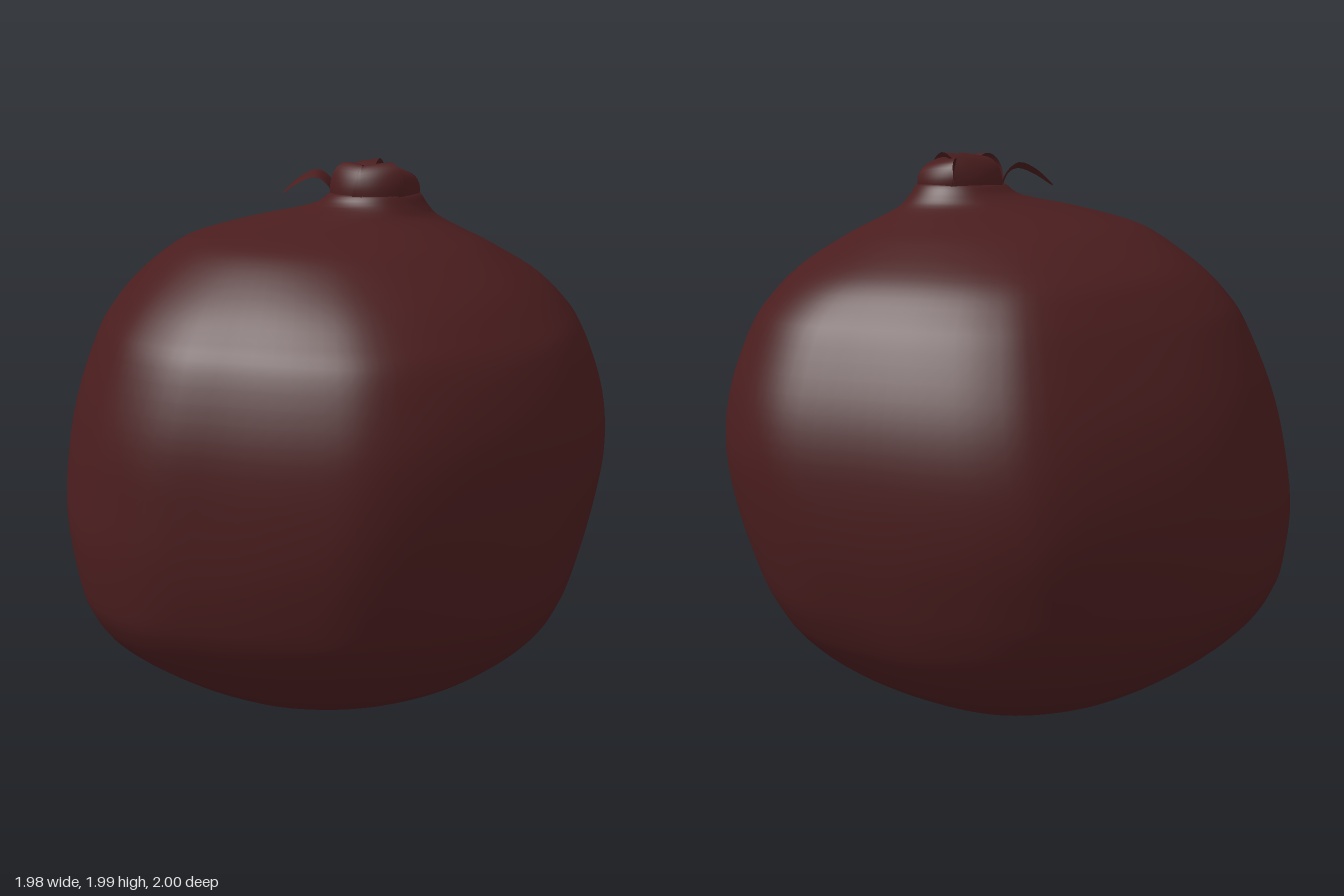
import * as THREE from 'three';

const skin = new THREE.MeshStandardMaterial({ color: 0x4a1d1e, side: THREE.DoubleSide });
skin.name = 'dark red skin';

// Plan outline at the widest part: x, z
const OUTLINE = [
  [0.05, -1], [0.25, -0.96], [0.45, -0.85], [0.65, -0.71], [0.85, -0.57], [0.96, -0.4], [1, -0.2],
  [0.98, 0], [0.945, 0.2], [0.885, 0.39], [0.775, 0.59], [0.61, 0.75], [0.41, 0.88], [0.2, 0.97], [0, 1],
  [-0.2, 0.95], [-0.45, 0.85], [-0.68, 0.75], [-0.86, 0.57], [-0.95, 0.35], [-0.99, 0.1], [-1, -0.15],
  [-0.96, -0.42], [-0.84, -0.63], [-0.61, -0.81], [-0.3, -0.93],
];

// Cross-section extents: y, xMin, xMax, zMin, zMax
const LEVELS = [
  [0.0, -0.02, 0.02, -0.2, -0.16], [0.02, -0.27, 0.15, -0.31, 0.1], [0.1, -0.43, 0.33, -0.53, 0.4],
  [0.2, -0.6, 0.53, -0.7, 0.6], [0.3, -0.75, 0.68, -0.81, 0.73], [0.4, -0.86, 0.78, -0.88, 0.83],
  [0.5, -0.92, 0.84, -0.925, 0.9], [0.6, -0.955, 0.885, -0.955, 0.94], [0.8, -0.99, 0.95, -0.995, 0.985],
  [1.0, -0.975, 0.985, -0.985, 1.0], [1.2, -0.93, 0.965, -0.93, 0.98], [1.4, -0.855, 0.89, -0.83, 0.91],
  [1.5, -0.795, 0.82, -0.76, 0.83], [1.6, -0.71, 0.71, -0.66, 0.72], [1.7, -0.59, 0.54, -0.48, 0.57],
  [1.75, -0.49, 0.44, -0.35, 0.45], [1.8, -0.3, 0.345, -0.2, 0.3], [1.84, -0.1, 0.305, -0.13, 0.235],
  [1.88, -0.035, 0.275, -0.095, 0.205], [1.875, 0.0, 0.24, -0.06, 0.17], [1.85, 0.1, 0.14, 0.03, 0.07],
];

// Indexed grid of rows, optionally closed around each row
function gridGeometry(rows, closed) {
  const n = rows[0].length, index = [];
  for (let j = 0; j < rows.length - 1; j++) {
    for (let i = 0; i < (closed ? n : n - 1); i++) {
      const a = j * n + i, b = j * n + (i + 1) % n;
      index.push(a, a + n, b, b, a + n, b + n);
    }
  }
  const g = new THREE.BufferGeometry();
  g.setAttribute('position', new THREE.Float32BufferAttribute(rows.flat(2), 3));
  g.setIndex(index);
  g.computeVertexNormals();
  return g;
}

function add(parent, name, geometry) {
  const mesh = new THREE.Mesh(geometry, skin);
  mesh.name = name;
  parent.add(mesh);
  return mesh;
}

function bodyGeometry() {
  const { lerp, smoothstep } = THREE.MathUtils;
  const curve = (pts, closed) => new THREE.CatmullRomCurve3(pts, closed, 'catmullrom', 0.5);
  const plan = curve(OUTLINE.map(([x, z]) => new THREE.Vector3(x, 0, z)), true).getPoints(104).slice(0, -1);
  const xs = curve(LEVELS.map((l) => new THREE.Vector3(l[1], l[0], l[2])), false);
  const zs = curve(LEVELS.map((l) => new THREE.Vector3(l[3], l[0], l[4])), false);
  const steps = (LEVELS.length - 1) * 4, rows = [];
  for (let j = 0; j <= steps; j++) {
    const a = xs.getPoint(j / steps), b = zs.getPoint(j / steps), y = a.y;
    // lobed at the middle, round towards the poles, squarer in the lower half
    const lobed = smoothstep(y, 0, 0.6) * (1 - smoothstep(y, 1.45, 1.85));
    const square = 0.06 * smoothstep(y, 0, 0.1) * (1 - smoothstep(y, 0.4, 1.0));
    rows.push(plan.map((p) => {
      const t = Math.atan2(p.z, p.x);
      const bulge = 1 + square * Math.sin(2 * t) ** 2;
      const u = lerp(Math.cos(t), p.x, lobed) * bulge;
      const v = lerp(Math.sin(t), p.z, lobed) * bulge;
      return [(a.x + a.z) / 2 + u * (a.z - a.x) / 2, Math.max(0, y), (b.x + b.z) / 2 + v * (b.z - b.x) / 2];
    }));
  }
  return gridGeometry(rows, true);
}

// Curled sepal pointing along +x; profile holds radius and height pairs, twist rolls the tip
function sepalGeometry(profile, width, twist) {
  const path = new THREE.CatmullRomCurve3(profile.map(([r, y]) => new THREE.Vector3(r, y, 0)));
  const rows = [];
  for (let j = 0; j <= 14; j++) {
    const t = j / 14, p = path.getPoint(t), row = [];
    const half = width * (1 - 0.9 * t ** 2.2);
    for (let i = -4; i <= 4; i++) {
      const s = (i / 4) * half;
      row.push([p.x - (s * s / 0.3) * (1 - t), p.y - s * s * t + twist * s * t, s]);
    }
    rows.push(row);
  }
  return gridGeometry(rows, false);
}

// Sepal shapes: folded high, folded low and curled outwards
const HIGH = [[0.152, 1.86], [0.15, 1.91], [0.13, 1.96], [0.095, 1.985], [0.045, 1.955]];
const LOW = [[0.152, 1.86], [0.152, 1.9], [0.13, 1.945], [0.08, 1.965], [0.01, 1.94]];
const LOOSE = [[0.14, 1.85], [0.165, 1.915], [0.205, 1.945], [0.26, 1.925], [0.325, 1.875]];

// Direction in degrees, profile, half width, twist
const SEPALS = [
  [-105, HIGH, 0.1, 0.2], [-35, LOW, 0.09, -0.2], [30, LOW, 0.09, 0.25],
  [90, HIGH, 0.09, -0.15], [145, HIGH, 0.085, 0.1], [192, LOOSE, 0.055, 0.5],
];

export function createModel() {
  const model = new THREE.Group();
  model.name = 'fruit';
  add(model, 'body', bodyGeometry());

  // Crown of sepals folded over the neck, one curling outwards
  const crown = new THREE.Group();
  crown.name = 'crown';
  crown.position.set(0.12, 0, 0.055);
  model.add(crown);
  for (const [deg, profile, width, twist] of SEPALS) {
    const name = profile === LOOSE ? 'looseSepal' : 'foldedSepal';
    add(crown, name, sepalGeometry(profile, width, twist)).rotation.y = -THREE.MathUtils.degToRad(deg);
  }

  // Small scar under the fruit
  const scar = add(model, 'baseScar', new THREE.TorusGeometry(0.08, 0.008, 8, 32));
  scar.rotation.x = Math.PI / 2 - 0.08;
  scar.position.set(0, 0.015, 0);
  return model;
}
